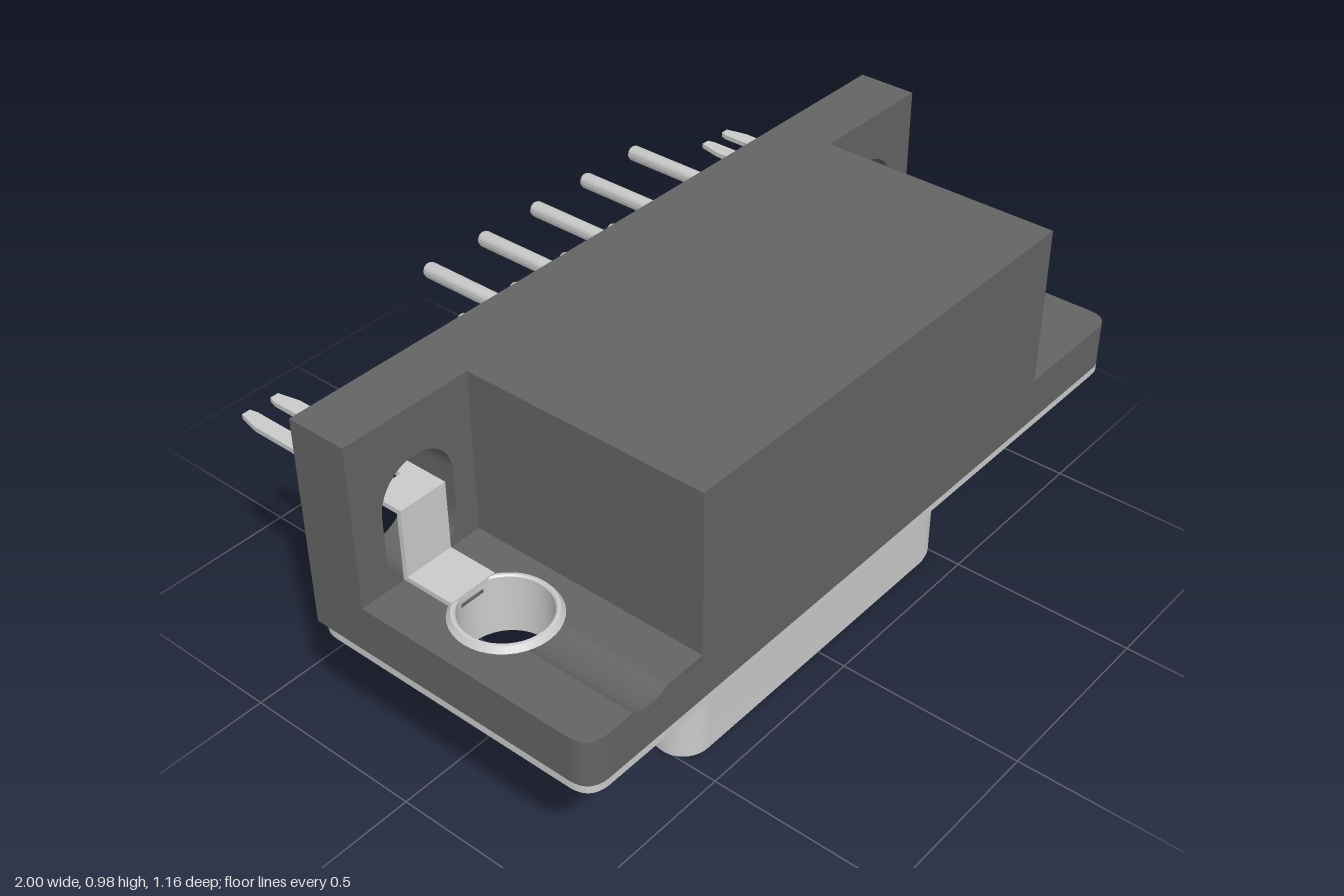
import * as THREE from 'three';
import { toCreasedNormals } from 'three/addons/utils/BufferGeometryUtils.js';

const dark = new THREE.MeshStandardMaterial({ color: 0x646464 });
const metal = new THREE.MeshStandardMaterial({ color: 0xcccccc });
const metalThin = new THREE.MeshStandardMaterial({ color: 0xcccccc, side: THREE.DoubleSide });

const HX = 0.813, HZ = 0.175, HR = 0.115;   // mounting hole centre and radius
const GW = 0.054;                           // half width of the shallow groove
const BACK = -0.23, WALL = -0.07, FRONT = 0.58;

export function createModel() {
  const root = new THREE.Group();

  const add = (name, geometry, material, parent = root) => {
    const mesh = new THREE.Mesh(geometry, material);
    mesh.name = name;
    parent.add(mesh);
    return mesh;
  };
  const box = (x0, x1, y0, y1, z0, z1) =>
    new THREE.BoxGeometry(x1 - x0, y1 - y0, z1 - z0)
      .translate((x0 + x1) / 2, (y0 + y1) / 2, (z0 + z1) / 2);
  const extrude = (shape, depth) => toCreasedNormals(
    new THREE.ExtrudeGeometry(shape, { depth, bevelEnabled: false, curveSegments: 16 }), 0.6);
  // plan shape (x, z) raised from y0 to y1
  const slab = (shape, y0, y1) => extrude(shape, y1 - y0).rotateX(Math.PI / 2).translate(0, y1, 0);
  // front shape (x, y) running from z0 to z1
  const bar = (shape, z0, z1) => extrude(shape, z1 - z0).translate(0, 0, z0);
  const circle = (x, y, r) => new THREE.Path().absarc(x, y, r, 0, Math.PI * 2, false);

  // Housing: centre block
  add('housingBlock', box(-0.645, 0.64, 0.42, 0.975, WALL, FRONT), dark);

  // Housing: back wall with a full slot on the right and a flat-bottomed arch on the left
  const wall = new THREE.Shape();
  wall.moveTo(-1, 0.42).lineTo(1, 0.42).lineTo(1, 0.975).lineTo(-1, 0.975).closePath();
  const slot = new THREE.Path();
  slot.absarc(-HX, 0.745, 0.105, 0, Math.PI, false);
  slot.absarc(-HX, 0.635, 0.105, Math.PI, Math.PI * 2, false);
  slot.closePath();
  const arch = new THREE.Path();
  arch.moveTo(HX - 0.105, 0.635).lineTo(HX + 0.105, 0.635);
  arch.absarc(HX, 0.745, 0.105, 0, Math.PI, false);
  arch.closePath();
  wall.holes.push(slot, arch);
  add('backWall', bar(wall, BACK, WALL), dark);

  // Housing: side flanges with rounded front corner and mounting hole
  const flangeShape = (s, inner) => {
    const shape = new THREE.Shape();
    shape.moveTo(s * inner, WALL).lineTo(s, WALL).lineTo(s, FRONT - 0.06);
    shape.quadraticCurveTo(s, FRONT, s * 0.94, FRONT).lineTo(s * inner, FRONT).closePath();
    shape.holes.push(circle(s * HX, HZ, HR));
    return shape;
  };
  add('leftFlange', slab(flangeShape(1, 0.64), 0.42, 0.545), dark);
  add('rightFlange', slab(flangeShape(-1, 0.645), 0.42, 0.525), dark);

  // Right flange top layer, split by the groove that continues the slot
  const a = Math.acos(GW / HR);
  const topPiece = (s, edge, r) => {
    const gx = -HX + s * GW;
    const shape = new THREE.Shape();
    shape.moveTo(edge, WALL).lineTo(gx, WALL);
    if (s > 0) shape.absarc(-HX, HZ, HR, -a, a, false);
    else shape.absarc(-HX, HZ, HR, Math.PI + a, Math.PI - a, true);
    shape.lineTo(gx, FRONT).lineTo(edge - s * r, FRONT);
    shape.quadraticCurveTo(edge, FRONT, edge, FRONT - r).closePath();
    return shape;
  };
  add('flangeTopOuter', slab(topPiece(-1, -1, 0.06), 0.525, 0.545), dark);
  add('flangeTopInner', slab(topPiece(1, -0.645, 0.001), 0.525, 0.545), dark);
  const groove = new THREE.Shape();
  const g = Math.asin(GW / 0.105);
  groove.moveTo(-HX - GW, 0.525).lineTo(-HX + GW, 0.525);
  groove.absarc(-HX, 0.635, 0.105, -Math.PI / 2 + g, -Math.PI / 2 - g, true);
  groove.closePath();
  const reach = HR * Math.sin(a);
  add('grooveFront', bar(groove, HZ + reach, FRONT), dark);
  add('grooveBack', bar(groove, WALL, HZ - reach), dark);

  // Metal face plate
  const plate = new THREE.Shape();
  const c = 0.06;
  plate.moveTo(-1 + c, BACK).lineTo(1 - c, BACK).quadraticCurveTo(1, BACK, 1, BACK + c);
  plate.lineTo(1, FRONT - c).quadraticCurveTo(1, FRONT, 1 - c, FRONT);
  plate.lineTo(-1 + c, FRONT).quadraticCurveTo(-1, FRONT, -1, FRONT - c);
  plate.lineTo(-1, BACK + c).quadraticCurveTo(-1, BACK, -1 + c, BACK);
  plate.holes.push(circle(HX, HZ, 0.11), circle(-HX, HZ, 0.11));
  add('facePlate', slab(plate, 0.4, 0.42), metal);

  // Plug shell: rounded trapezoid ring, grown or shrunk by an offset
  const deg = Math.PI / 180, R = 0.08, N = 10;
  const corners = [
    [0.435, 0.35, 90, -10], [0.373, 0, -10, -90],
    [-0.373, 0, -90, -170], [-0.435, 0.35, -170, -270],
  ];
  const ring = (off) => corners.flatMap(([x, z, from, to]) =>
    Array.from({ length: N + 1 }, (_, i) => {
      const t = (from + (to - from) * i / N) * deg;
      return new THREE.Vector2(x + (R + off) * Math.cos(t), z + (R + off) * Math.sin(t));
    }));
  const levels = [];
  for (let i = 0; i <= 6; i++) {
    const t = i / 6 * Math.PI / 2;
    levels.push([0.4 - 0.04 * (1 - Math.cos(t)), 0.04 * (1 - Math.sin(t))]);
  }
  levels.push([0.022, 0], [0.02, -0.006], [0.006, -0.006], [0, -0.012]);
  const pos = [], idx = [], M = corners.length * (N + 1);
  levels.forEach(([y, off], j) => {
    ring(off).forEach((p) => pos.push(p.x, y, p.y));
    if (j === 0) return;
    for (let i = 0; i < M; i++) {
      const k = (i + 1) % M, u = (j - 1) * M, d = j * M;
      idx.push(u + i, d + i, u + k, u + k, d + i, d + k);
    }
  });
  const shell = new THREE.BufferGeometry();
  shell.setAttribute('position', new THREE.Float32BufferAttribute(pos, 3));
  shell.setIndex(idx);
  add('plugShell', toCreasedNormals(shell, 0.5), metal);

  // Contacts: five in the wide row, four in the narrow row
  const contacts = [];
  for (let i = 0; i < 9; i++) contacts.push({ x: -0.36 + 0.09 * i, wide: i % 2 === 0 });

  // Plug end face with contact holes, closed a little way in
  const face = new THREE.Shape(ring(-0.012));
  contacts.forEach(({ x, wide }) => face.holes.push(circle(x, HZ + (wide ? 0.095 : -0.095), 0.03)));
  add('plugFace', slab(face, 0, 0.05), metal);
  add('contactFloor', slab(new THREE.Shape(ring(-0.02)), 0.05, 0.06), metal);

  // Solder pins with softened tips
  const pinProfile = [[0.02, 0], [0.02, 0.275], [0.017, 0.282], [0.012, 0.285], [0, 0.285]]
    .map(([r, y]) => new THREE.Vector2(r, y));
  const pinGeometry = toCreasedNormals(new THREE.LatheGeometry(pinProfile, 16).rotateX(-Math.PI / 2), 0.6);
  const pins = new THREE.Group();
  pins.name = 'solderPins';
  root.add(pins);
  contacts.forEach(({ x, wide }) =>
    add('solderPin', pinGeometry, metal, pins).position.set(x, wide ? 0.925 : 0.738, -0.2));

  // Mounting eyelets, each with a bent tab ending in two prongs
  const eyeletProfile = [[0.107, 0.4], [0.107, 0.556], [0.111, 0.56], [0.118, 0.559], [0.128, 0.545], [0.113, 0.545], [0.113, 0.4], [0.107, 0.4]]
    .map(([r, y]) => new THREE.Vector2(r, y));
  const eyelet = toCreasedNormals(new THREE.LatheGeometry(eyeletProfile, 40), 0.5);
  for (const s of [1, -1]) {
    const clip = new THREE.Group();
    clip.name = s > 0 ? 'leftBoardLock' : 'rightBoardLock';
    clip.position.x = s * HX;
    root.add(clip);
    add('eyelet', eyelet, metalThin, clip).position.z = HZ;
    add('tabFoot', box(-0.066, 0.066, 0.55, 0.563, -0.066, 0.078), metal, clip);
    add('tabRiser', box(-0.066, 0.066, 0.55, 0.746, -0.068, -0.055), metal, clip);
    add('tabBridge', box(-0.066, 0.066, 0.733, 0.746, -0.15, -0.06), metal, clip);
    for (const m of [1, -1]) {
      const prong = new THREE.Shape();
      prong.moveTo(m * 0.025, -0.14).lineTo(m * 0.066, -0.14).lineTo(m * 0.066, -0.52);
      prong.lineTo(m * 0.053, -0.58).lineTo(m * 0.03, -0.58).lineTo(m * 0.025, -0.56).closePath();
      add('prong', slab(prong, 0.733, 0.746), metal, clip);
    }
  }
  return root;
}
